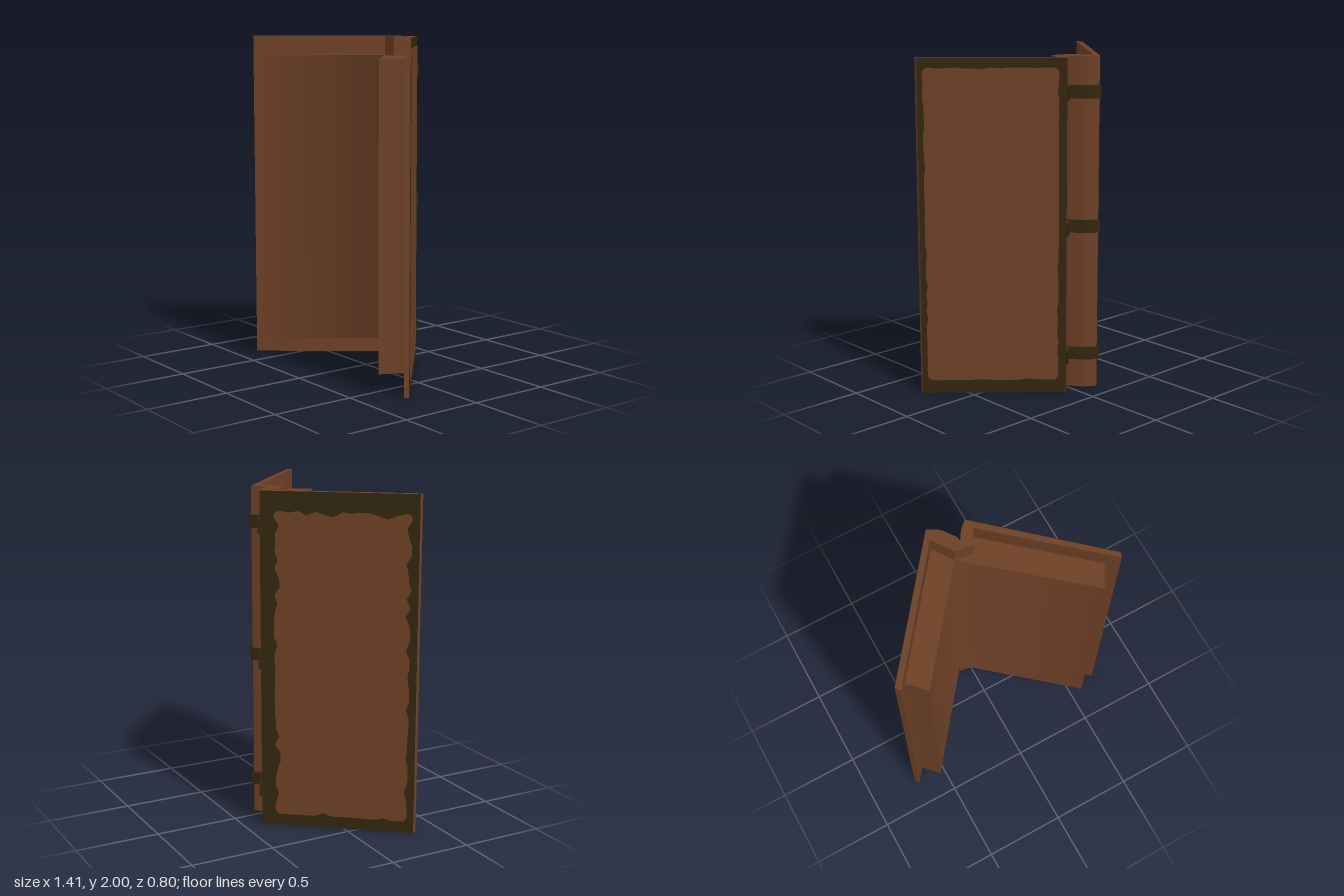
import * as THREE from 'three';
import { toCreasedNormals } from 'three/addons/utils/BufferGeometryUtils.js';

const leather = new THREE.MeshStandardMaterial({ color: 0x6d4026 });
leather.name = 'brown leather';
const trim = new THREE.MeshStandardMaterial({ color: 0x32260f });
trim.name = 'dark trim';

// Plan outlines are [x, z] points, extruded upright between two heights
function upright(name, outline, y0, y1, material) {
  const shape = new THREE.Shape(outline.map(([x, z]) => new THREE.Vector2(x, z)));
  let geo = new THREE.ExtrudeGeometry(shape, { depth: y1 - y0, bevelEnabled: false });
  geo.rotateX(Math.PI / 2).translate(0, y1, 0);
  geo = toCreasedNormals(geo, 0.7);
  const mesh = new THREE.Mesh(geo, material);
  mesh.name = name;
  return mesh;
}

// Smooth run of plan points
function smooth(points, n = 10) {
  return new THREE.SplineCurve(points.map(([x, z]) => new THREE.Vector2(x, z)))
    .getPoints(n).map((p) => [p.x, p.y]);
}

function seeded(seed) {
  return () => (seed = (seed * 16807) % 2147483647) / 2147483647;
}

// Rounded rectangle whose edges are slightly worn inward
function wornPanel(u0, u1, v0, v1, wear, seed) {
  const rand = seeded(seed);
  const r = 0.035, pts = [];
  const corners = [[u0 + r, v0 + r, Math.PI], [u1 - r, v0 + r, 1.5 * Math.PI],
    [u1 - r, v1 - r, 0], [u0 + r, v1 - r, 0.5 * Math.PI]];
  corners.forEach(([cx, cy, a], i) => {
    for (let k = 0; k <= 4; k++) {
      const t = a + (k / 4) * Math.PI / 2;
      pts.push(new THREE.Vector2(cx + r * Math.cos(t), cy + r * Math.sin(t)));
    }
    const start = pts[pts.length - 1];
    const [nx, ny, na] = corners[(i + 1) % 4];
    const end = new THREE.Vector2(nx + r * Math.cos(na), ny + r * Math.sin(na));
    const dir = end.clone().sub(start);
    const inward = new THREE.Vector2(-dir.y, dir.x).normalize();
    const n = Math.round(dir.length() / 0.05);
    for (let k = 1; k < n; k++) {
      pts.push(start.clone().addScaledVector(dir, k / n)
        .addScaledVector(inward, wear * rand() ** 3));
    }
  });
  return new THREE.Shape(pts);
}

// Thin plate laid on a cover's outer face
function plate(name, shape, offset, side, material) {
  const t = 0.003;
  const geo = new THREE.ExtrudeGeometry(shape, { depth: t, bevelEnabled: false });
  geo.translate(0, 0, side > 0 ? offset : -offset - t);
  const mesh = new THREE.Mesh(geo, material);
  mesh.name = name;
  return mesh;
}

function coverFace(name, from, to, side, panel) {
  const group = new THREE.Group();
  group.name = name;
  const dx = to[0] - from[0], dz = to[1] - from[1], len = Math.hypot(dx, dz);
  const full = new THREE.Shape([[0, 0], [len, 0], [len, 2], [0, 2]]
    .map(([x, y]) => new THREE.Vector2(x, y)));
  group.add(plate('coverBorder', full, 0, side, trim));
  group.add(plate('coverPanel', wornPanel(panel.in, len - panel.out, panel.y0, panel.y1,
    panel.wear, panel.seed), 0.003, side, leather));
  group.position.set(from[0], 0, from[1]);
  group.rotation.y = -Math.atan2(dz, dx);
  return group;
}

export function createModel() {
  const book = new THREE.Group();
  book.name = 'openBook';

  const gutter = [-0.075, -0.2];
  const rightHinge = [-0.145, -0.385], rightEdge = [-0.705, 0.325];
  const leftHinge = [0.065, -0.335], leftEdge = [0.7, 0.235];

  // Covers
  book.add(upright('rightCover',
    [rightHinge, rightEdge, [-0.685, 0.355], [-0.155, -0.32]], 0, 2, leather));
  book.add(upright('leftCover',
    [leftHinge, leftEdge, [0.69, 0.265], [0.08, -0.27]], 0, 2, leather));
  book.add(coverFace('rightCoverFace', rightHinge, rightEdge, 1,
    { in: 0.08, out: 0.04, y0: 0.07, y1: 1.89, wear: 0.035, seed: 11 }));
  book.add(coverFace('leftCoverFace', leftHinge, leftEdge, -1,
    { in: 0.045, out: 0.03, y0: 0.08, y1: 1.945, wear: 0.01, seed: 29 }));

  // Spine, folded at a crease on its back
  const rightFold = smooth([rightHinge, [-0.08, -0.345], [-0.02, -0.265]]);
  const leftFold = smooth([[-0.015, -0.24], [0.02, -0.293], leftHinge]);
  const inner = [[0.08, -0.27], [0.04, -0.18], gutter, [-0.155, -0.32]];
  book.add(upright('spine', [...rightFold, ...leftFold, ...inner], 0, 2, leather));

  // Raised bands across the spine
  const bandOuter = [...smooth([[-0.145, -0.402], [-0.08, -0.365], [-0.008, -0.282]]),
    ...smooth([[0.005, -0.295], [0.025, -0.318], [0.065, -0.352]], 5)];
  const bandInner = [[0.068, -0.33], [0.025, -0.285], [-0.017, -0.23],
    [-0.03, -0.26], [-0.085, -0.33], [-0.148, -0.378]];
  for (const y of [0.215, 1.0, 1.795]) {
    book.add(upright('spineBand', [...bandOuter, ...bandInner], y - 0.038, y + 0.038, trim));
  }

  // Page blocks with hollowed fore-edges
  const pages = [
    upright('rightPages', [gutter, [-0.155, -0.32],
      ...smooth([[-0.64, 0.295], [-0.588, 0.343], [-0.545, 0.395]], 6)], 0.12, 1.885, leather),
    upright('leftPages', [gutter,
      ...smooth([[0.555, 0.34], [0.587, 0.275], [0.63, 0.215]], 6),
      [0.08, -0.27], [0.04, -0.18]], 0.12, 1.885, leather),
  ];
  // Blend the open page faces softly into each other at the gutter
  for (const mesh of pages) {
    const { position: p, normal: n } = mesh.geometry.attributes;
    for (let i = 0; i < p.count; i++) {
      const atGutter = Math.hypot(p.getX(i) - gutter[0], p.getZ(i) - gutter[1]) < 0.001;
      if (atGutter && Math.abs(n.getY(i)) < 0.1 && n.getZ(i) > 0.5) n.setXYZ(i, 0.09, 0, 0.996);
    }
    book.add(mesh);
  }
  return book;
}
